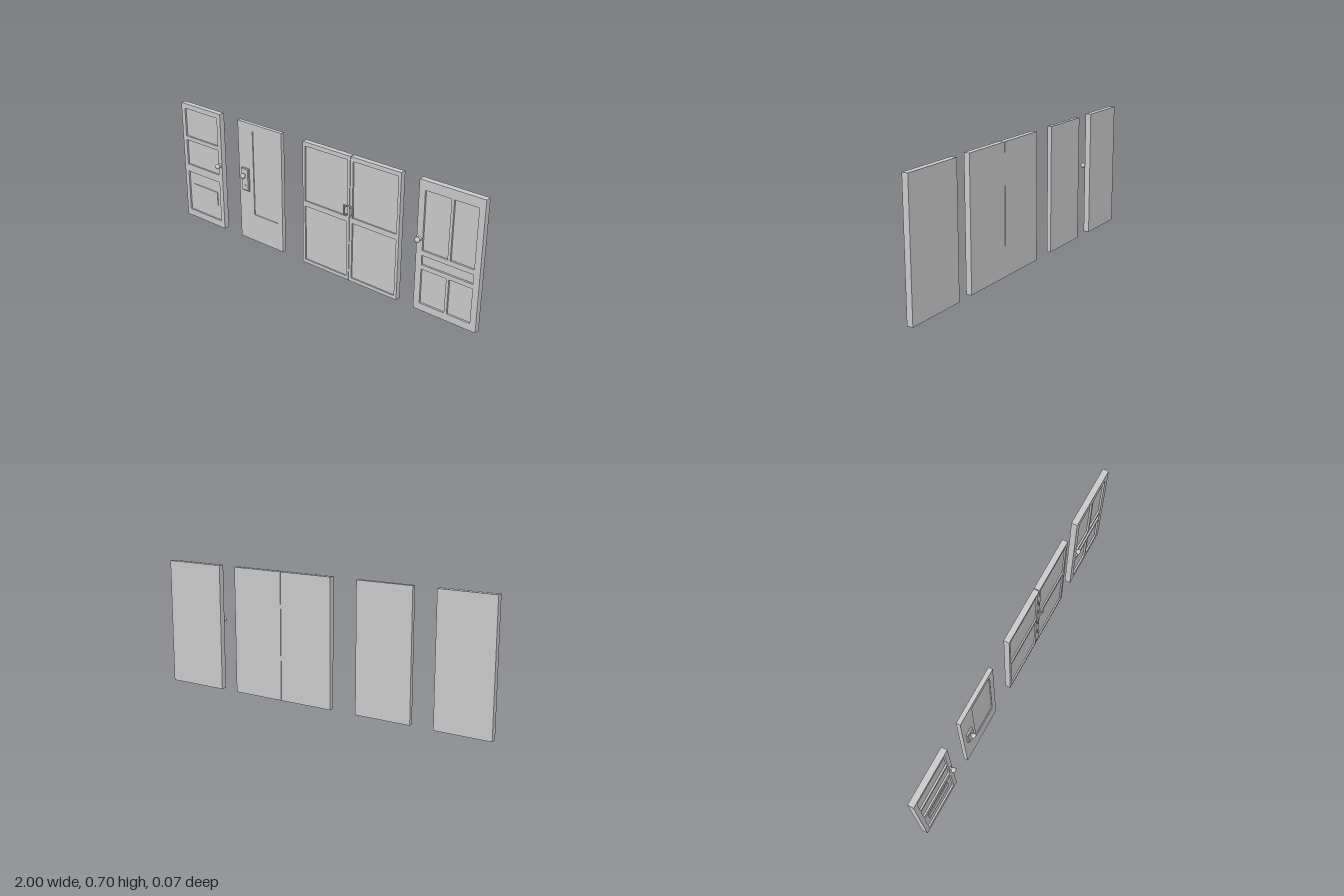
import * as THREE from 'three';

const H = 0.705;
const grey = new THREE.MeshStandardMaterial({ color: 0xcccccc });

function add(parent, name, geometry, x = 0, y = 0, z = 0) {
  const mesh = new THREE.Mesh(geometry, grey);
  mesh.name = name;
  mesh.position.set(x, y, z);
  parent.add(mesh);
  return mesh;
}

// box from its limits
function block(parent, name, x0, x1, y0, y1, z0, z1) {
  return add(parent, name, new THREE.BoxGeometry(x1 - x0, y1 - y0, z1 - z0),
    (x0 + x1) / 2, (y0 + y1) / 2, (z0 + z1) / 2);
}

function trace(path, x0, x1, y0, y1) {
  path.moveTo(x0, y0).lineTo(x1, y0).lineTo(x1, y1).lineTo(x0, y1);
  path.closePath();
  return path;
}

// door leaf: solid back slab and a front frame pierced by recessed panels [x0, x1, y0, y1]
function leaf(parent, name, x0, x1, zBack, zFront, recess, panels) {
  const door = new THREE.Group();
  door.name = name;
  parent.add(door);
  block(door, 'slab', x0, x1, 0, H, zBack, zFront - recess);
  const shape = trace(new THREE.Shape(), x0, x1, 0, H);
  panels.forEach(p => shape.holes.push(trace(new THREE.Path(), ...p)));
  add(door, 'panelFrame', new THREE.ExtrudeGeometry(shape, { depth: recess, bevelEnabled: false }),
    0, 0, zFront - recess);
  return door;
}

// round knob with rosette and neck, turned about z
function knob(parent, x, y, z) {
  const profile = [[0, 0], [0.0125, 0], [0.0125, 0.003], [0.007, 0.006], [0.0065, 0.01], [0.011, 0.014],
    [0.0142, 0.019], [0.0145, 0.023], [0.0128, 0.028], [0.0085, 0.032], [0.004, 0.0335], [0, 0.034]];
  const geometry = new THREE.LatheGeometry(profile.map(p => new THREE.Vector2(...p)), 24);
  geometry.rotateX(Math.PI / 2);
  add(parent, 'knob', geometry, x, y, z);
}

// C-shaped pull: two posts by the meeting edge, bar bowed away from it
function pull(parent, xMid, side) {
  const group = new THREE.Group();
  group.name = 'pullHandle';
  parent.add(group);
  const inner = xMid + side * 0.009, outer = xMid + side * 0.031;
  const a = Math.min(inner, outer), b = Math.max(inner, outer);
  const t = 0.006, y0 = 0.382, y1 = 0.435;
  for (const y of [y0, y1 - t]) {
    block(group, 'pullArm', a, b, y, y + t, 0.008, 0.015);
    const px = inner + side * t;
    block(group, 'pullPost', Math.min(inner, px), Math.max(inner, px), y, y + t, -0.001, 0.008);
  }
  const gx = outer - side * t;
  block(group, 'pullGrip', Math.min(gx, outer), Math.max(gx, outer), y0 + t, y1 - t, 0.008, 0.015);
}

export function createModel() {
  const model = new THREE.Group();
  model.name = 'doorSet';

  // three-panel door with a raised field in the lowest panel
  const three = leaf(model, 'threePanelDoor', -1, -0.69, -0.033, 0, 0.01, [
    [-0.973, -0.717, 0.508, 0.676], [-0.973, -0.717, 0.332, 0.484], [-0.973, -0.717, 0.04, 0.286]]);
  block(three, 'raisedField', -0.94, -0.745, 0.13, 0.212, -0.011, -0.005);
  knob(three, -0.705, 0.395, -0.002);

  // thin door with one shallow panel, lock plate and knob
  const single = leaf(model, 'singlePanelDoor', -0.558, -0.24, -0.029, -0.006, 0.005, [
    [-0.45, -0.275, 0.165, 0.663]]);
  const plateShape = trace(new THREE.Shape(), -0.528, -0.483, 0.306, 0.432);
  add(single, 'lockPlate', new THREE.ExtrudeGeometry(plateShape, {
    depth: 0.008, bevelThickness: 0.004, bevelSize: 0.004, bevelSegments: 1 }), 0, 0, -0.005);
  const cylinder = new THREE.CylinderGeometry(0.004, 0.004, 0.003, 16).rotateX(Math.PI / 2);
  add(single, 'keyCylinder', cylinder, -0.503, 0.335, 0.0075);
  knob(single, -0.505, 0.395, 0);

  // double door, two leaves with two panels each
  const left = -0.086, right = 0.536, mid = (left + right) / 2 + 0.003;
  const pair = new THREE.Group();
  pair.name = 'doubleDoor';
  model.add(pair);
  const leaves = [[left, mid - 0.0015], [mid + 0.0015, right]];
  leaves.forEach(([x0, x1]) => leaf(pair, 'doubleDoorLeaf', x0, x1, -0.031, 0, 0.008,
    [[0.02, 0.34], [0.37, 0.682]].map(([y0, y1]) => [x0 + 0.016, x1 - 0.016, y0, y1])));
  for (const side of [-1, 1]) pull(pair, mid, side);

  // five-panel door
  const five = leaf(model, 'fivePanelDoor', 0.64, 1, -0.033, 0, 0.01, [
    [0.675, 0.82, 0.335, 0.655], [0.835, 0.967, 0.335, 0.655],
    [0.675, 0.967, 0.257, 0.308],
    [0.675, 0.82, 0.04, 0.232], [0.835, 0.967, 0.04, 0.232]]);
  knob(five, 0.657, 0.395, -0.002);

  return model;
}
